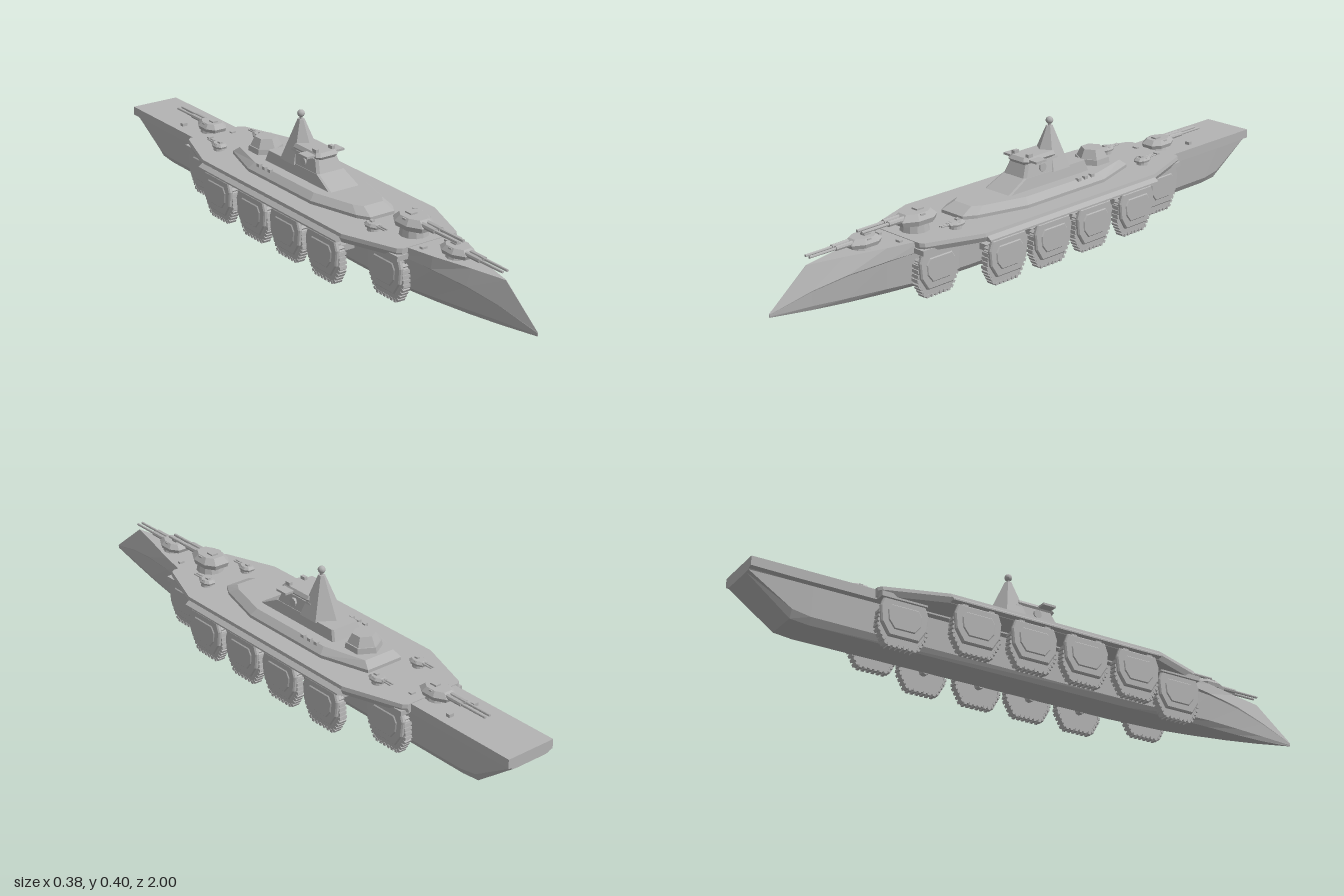
import * as THREE from 'three';
import { mergeGeometries } from 'three/addons/utils/BufferGeometryUtils.js';

const grey = new THREE.MeshStandardMaterial({ color: 0xb3b3b3, flatShading: true });
grey.name = 'naval grey';

function add(parent, name, geo, x = 0, y = 0, z = 0) {
  const m = new THREE.Mesh(geo, grey);
  m.name = name;
  m.position.set(x, y, z);
  parent.add(m);
  return m;
}
const box = (w, h, d) => new THREE.BoxGeometry(w, h, d);

// Closed solid through rings of [x, y, z] points; winding is set by the signed volume
function loft(rings) {
  const tris = [], n = rings[0].length;
  const mid = r => r.reduce((s, p) => s.map((v, i) => v + p[i] / n), [0, 0, 0]);
  for (let k = 0; k + 1 < rings.length; k++) {
    const a = rings[k], b = rings[k + 1];
    for (let i = 0; i < n; i++) {
      const j = (i + 1) % n;
      tris.push([a[i], a[j], b[j]], [a[i], b[j], b[i]]);
    }
  }
  const first = rings[0], last = rings[rings.length - 1], c0 = mid(first), c1 = mid(last);
  for (let i = 0; i < n; i++) {
    const j = (i + 1) % n;
    tris.push([c0, first[j], first[i]], [c1, last[i], last[j]]);
  }
  const V = p => new THREE.Vector3(...p);
  const vol = tris.reduce((s, [a, b, c]) => s + V(a).sub(V(c0)).dot(V(b).sub(V(c0)).cross(V(c).sub(V(c0)))), 0);
  const geo = new THREE.BufferGeometry();
  const pos = tris.flatMap(([a, b, c]) => vol > 0 ? [...a, ...b, ...c] : [...a, ...c, ...b]);
  geo.setAttribute('position', new THREE.Float32BufferAttribute(pos, 3));
  geo.computeVertexNormals();
  return geo;
}

// Mirrored plan outline from [x, z] points of one side, at height y
const plan = (half, y) => [...half.map(([x, z]) => [x, y, z]), ...half.slice().reverse().map(([x, z]) => [-x, y, z])];
// Stack of plan outlines: [y, half outline]
const stack = (...levels) => loft(levels.map(([y, half]) => plan(half, y)));
// Chamfered rectangle half outline
const cham = (w, z0, z1, c) => [[w - c, z1], [w, z1 - c], [w, z0 + c], [w - c, z0]];

function hull(g) {
  // z, then deck edge, strake foot, ledge, chine, bottom as x, y
  const S = [
    [-1, .086, .176, .086, .147, .072, .143, .07, .14, .055, .138],
    [-.86, .086, .176, .086, .145, .072, .14, .068, .055, .055, .03],
    [-.8, .086, .176, .086, .145, .072, .14, .068, .045, .055, .024],
    [.3, .086, .176, .086, .145, .072, .14, .068, .04, .055, .022],
    [.5, .083, .176, .085, .145, .072, .14, .066, .042, .052, .027],
    [.62, .06, .177, .066, .139, .062, .135, .056, .05, .043, .032],
    [.75, .027, .178, .044, .128, .042, .124, .038, .055, .028, .038],
    [.865, .001, .178, .023, .107, .022, .104, .02, .06, .014, .046],
    [1, 0, .072, .001, .07, .001, .068, .001, .064, 0, .06],
  ];
  add(g, 'hull', loft(S.map(([z, ...p]) => {
    const half = [];
    for (let i = 0; i < p.length; i += 2) half.push([p[i], p[i + 1], z]);
    return [...half, ...half.slice().reverse().map(([x, y]) => [-x, y, z])];
  })));
}

function deck(g) {
  const outline = (d) => [[.1 - d, .53], [.113 - d, .52], [.178 - d, .34], [.178 - d, -.41], [.113 - d, -.6], [.1 - d, -.61]];
  add(g, 'sponsonDeck', stack([.15, outline(.008)], [.166, outline(0)], [.178, outline(.003)]));
  for (const s of [1, -1]) {
    // Sloping guards over the running gear
    add(g, 'sideFender', loft([.335, -.41].map(z => [[.15, .168], [.178, .168], [.192, .158], [.192, .153], [.15, .15]]
      .map(([x, y]) => [s * x, y, z]))));
    for (const z of [.46, -.53]) add(g, 'endFender', box(.04, .016, .15), s * .1, .152, z);
    for (const z of [-.57, .56]) add(g, 'deckHatch', box(.018, .008, .012), s * .045, .179, z);
    add(g, 'sternBollard', box(.018, .012, .014), s * .048, .18, -.73);
  }
}

// Track pod facing +x, centred on z, standing on y = 0
function trackPod() {
  const pod = new THREE.Group();
  pod.name = 'trackPod';
  const prism = (half, depth, bevel = 0) => {
    const pts = [...half, ...half.slice().reverse().map(([z, y]) => [-z, y])];
    const geo = new THREE.ExtrudeGeometry(new THREE.Shape(pts.map(p => new THREE.Vector2(...p))),
      { depth, bevelEnabled: bevel > 0, bevelSize: bevel, bevelThickness: bevel, bevelSegments: 1 });
    return geo.rotateY(Math.PI / 2);
  };
  const belt = [[.05, .005], [.078, .055], [.073, .112], [.055, .122]];
  add(pod, 'trackBelt', prism(belt, .023), -.0115);
  // Tread blocks along the belt
  const loop = [...belt, ...belt.slice().reverse().map(([z, y]) => [-z, y])];
  const blocks = [];
  loop.forEach(([z, y], i) => {
    const [z2, y2] = loop[(i + 1) % loop.length];
    const n = Math.max(1, Math.round(Math.hypot(z2 - z, y2 - y) / .0155));
    for (let k = 0; k < n; k++) {
      const t = (k + .5) / n;
      blocks.push(box(.026, .01, .009).rotateX(-Math.atan2(y2 - y, z2 - z))
        .translate(0, y + (y2 - y) * t, z + (z2 - z) * t));
    }
  });
  add(pod, 'treads', mergeGeometries(blocks));
  // Armour cover with raised rim and centre plate
  add(pod, 'armourCover', prism([[.047, .034], [.07, .07], [.075, .118], [.065, .145]], .007, .004), .013);
  add(pod, 'coverPlate', prism([[.032, .055], [.05, .078], [.053, .108], [.042, .125]], .003, .003), .021);
  for (const z of [.045, -.045]) add(pod, 'coverBracket', box(.02, .016, .02), .012, .147, z);
  // Suspension strut
  add(pod, 'strut', box(.016, .075, .035), -.019, .118);
  add(pod, 'axle', new THREE.CylinderGeometry(.014, .014, .035, 8).rotateZ(Math.PI / 2), -.014, .07);
  return pod;
}

function runningGear(g) {
  const spots = [[.46, .088], [.25, .16], [.06, .16], [-.125, .16], [-.32, .16], [-.525, .088]];
  for (const s of [1, -1]) for (const [z, x] of spots) {
    const pod = trackPod();
    pod.position.set(s * x, 0, z);
    if (s < 0) pod.rotation.y = Math.PI;
    g.add(pod);
    if (x > .1) add(g, 'suspensionArm', box(.08, .02, .03), s * .1, .09, z);
  }
}

// Gun turret firing toward +z
function turret(g, name, x, y, z, { w = .04, h = .026, reach = .2, base = .01, back = false, gun = .005 }) {
  const t = new THREE.Group();
  t.name = name;
  t.position.set(x, y, z);
  if (back) t.rotation.y = Math.PI;
  const L = w * 1.4;
  add(t, 'barbette', new THREE.CylinderGeometry(w * .85, w * .95, base, 12), 0, base / 2);
  const shell = k => [[w * .5 * k, L * k], [w * k, L * .35 * k], [w * k, -L * .5 * k], [w * .55 * k, -L * k]];
  add(t, 'turretHouse', stack([base, shell(.92)], [base + h * .45, shell(1)], [base + h, shell(.7)]));
  add(t, 'roofHatch', box(w * .5, .006, w * .6), 0, base + h + .002, -w * .3);
  for (const s of [1, -1]) {
    const by = base + h * .62;
    add(t, 'barrel', new THREE.CylinderGeometry(gun * .8, gun, reach, 8).rotateX(Math.PI / 2), s * w * .22, by, reach / 2);
    add(t, 'barrelSleeve', new THREE.CylinderGeometry(gun * 1.5, gun * 1.6, reach * .3, 8).rotateX(Math.PI / 2), s * w * .22, by, reach * .38);
    add(t, 'sight', box(w * .2, h * .4, w * .35), s * w * .72, base + h * .75, 0);
  }
  g.add(t);
}

function superstructure(g) {
  // Broad armoured casemate
  const low = [[.045, .31], [.068, .27], [.113, .1], [.113, -.24], [.065, -.4]];
  const high = [[.036, .265], [.055, .235], [.093, .09], [.093, -.23], [.055, -.375]];
  add(g, 'casemate', stack([.176, low], [.188, low], [.207, high]));
  for (const s of [1, -1]) for (const z of [-.14, -.17, -.2])
    add(g, 'casemateVent', box(.012, .01, .014), s * .096, .207, z);
  // Tower base with sloping front
  add(g, 'towerBase', stack([.2, cham(.057, -.235, .135, .006)], [.242, cham(.05, -.22, .05, .006)]));
  // Bridge tower
  add(g, 'bridgeTower', stack([.235, cham(.05, -.13, .052, .008)], [.282, cham(.04, -.11, .03, .008)]));
  add(g, 'bridgeCabin', stack([.28, cham(.036, -.1, .034, .01)], [.29, cham(.042, -.1, .04, .01)], [.301, cham(.035, -.1, .03, .01)]));
  add(g, 'bridgeWings', box(.142, .007, .045), 0, .292, .0);
  for (const s of [1, -1]) {
    add(g, 'wingPost', box(.012, .014, .02), s * .03, .304, .012);
    add(g, 'sideLamp', new THREE.CylinderGeometry(.014, .014, .008, 10).rotateZ(Math.PI / 2), s * .046, .262, -.03);
  }
  // Tapered spire and radar ball
  add(g, 'spire', new THREE.CylinderGeometry(.012, .074, .132, 6).scale(.85, 1, 1), 0, .304, -.108);
  add(g, 'mast', new THREE.CylinderGeometry(.005, .005, .016, 8), 0, .375, -.108);
  add(g, 'radarBall', new THREE.SphereGeometry(.012, 16, 12), 0, .387, -.108);
  // Six-sided director house
  add(g, 'directorBase', new THREE.CylinderGeometry(.055, .058, .02, 6), 0, .215, -.305);
  add(g, 'directorHouse', new THREE.CylinderGeometry(.036, .052, .032, 6), 0, .238, -.305);
}

export function createModel() {
  const g = new THREE.Group();
  g.name = 'landBattleship';
  hull(g);
  deck(g);
  runningGear(g);
  superstructure(g);
  turret(g, 'bowTurret', 0, .176, .66, { reach: .2 });
  turret(g, 'raisedTurret', 0, .176, .46, { w: .048, h: .034, base: .027, reach: .21, gun: .006 });
  turret(g, 'sternTurret', 0, .176, -.63, { reach: .2, back: true });
  for (const s of [1, -1]) {
    turret(g, 'frontSecondaryGun', s * .08, .176, .37, { w: .021, h: .014, base: .012, reach: .06, gun: .003 });
    turret(g, 'rearSecondaryGun', s * .08, .176, -.46, { w: .021, h: .014, base: .012, reach: .06, gun: .003, back: true });
  }
  return g;
}
